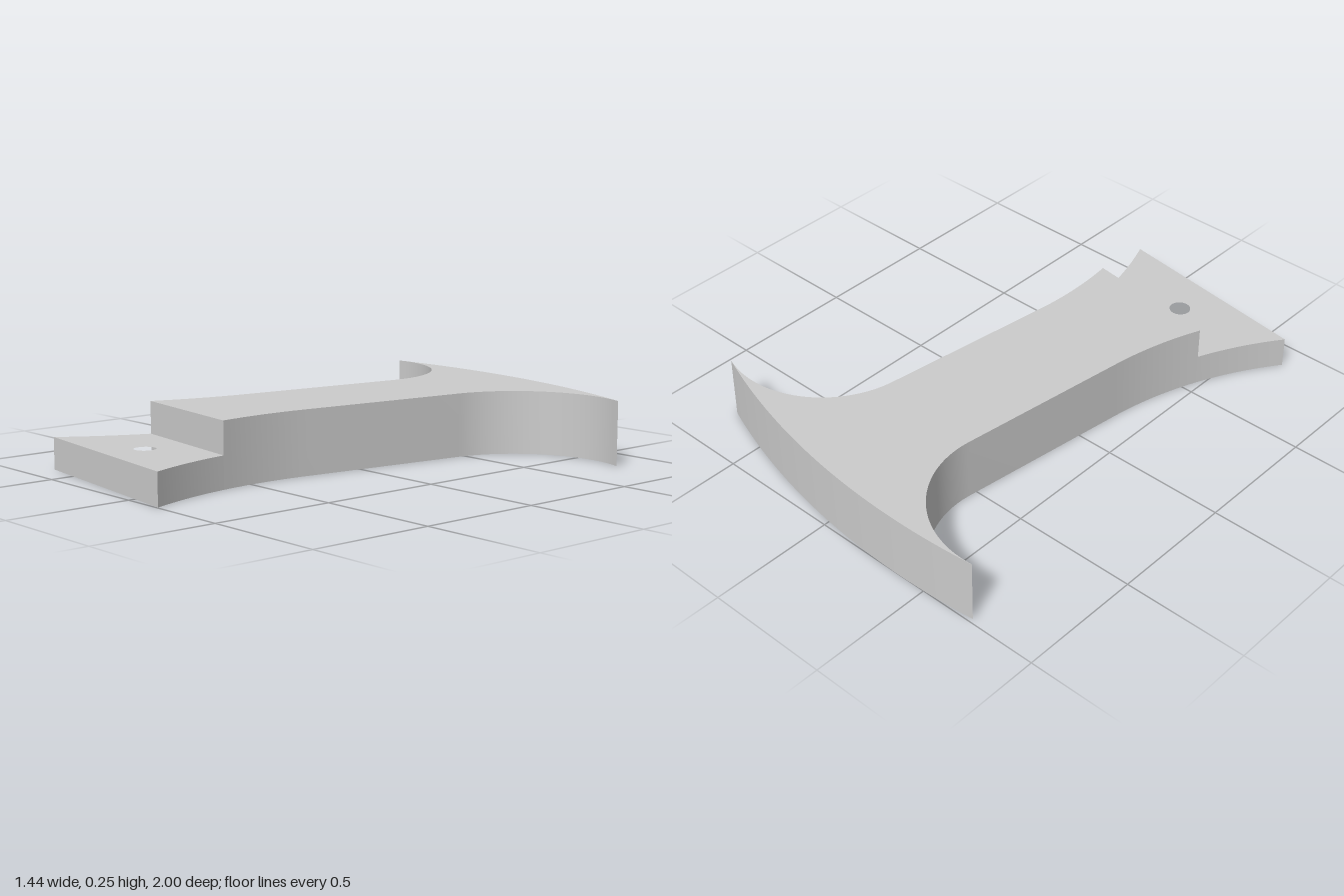
import * as THREE from 'three';
import { toCreasedNormals } from 'three/addons/utils/BufferGeometryUtils.js';

const FULL = 0.255, LOW = 0.127;           // heights of the body and the tongue
const HALF = 0.228;                        // half width of the straight shank
const TIP = { u: 0.725, v: -0.879 };       // tips of the curved head
const STEP = 0.619, END = 0.964;           // where the tongue starts and ends

// Points on a circular arc, angles in radians
function arc(cu, cv, r, a0, a1, n) {
  return Array.from({ length: n + 1 }, (_, i) => {
    const a = a0 + (a1 - a0) * i / n;
    return [cu + r * Math.cos(a), cv + r * Math.sin(a)];
  });
}

// Half width of the flared end at distance v along the axis
const FLARE_R = 1.506, FLARE_V = 0.23;
const flare = v => HALF + FLARE_R - Math.sqrt(FLARE_R ** 2 - (v - FLARE_V) ** 2);
function flareEdge(v0, v1, n) {
  return Array.from({ length: n + 1 }, (_, i) => {
    const v = v0 + (v1 - v0) * i / n;
    return [flare(v), v];
  });
}

const mirrored = pts => pts.map(([u, v]) => [-u, v]).reverse();
const toShape = pts => new THREE.Shape(pts.map(([u, v]) => new THREE.Vector2(u, -v)));

// Extrude a plan outline upward from the ground, smooth along its curves
function slab(name, shape, height) {
  const geo = new THREE.ExtrudeGeometry(shape, { depth: height, bevelEnabled: false, curveSegments: 32 });
  geo.rotateX(-Math.PI / 2);
  const mesh = new THREE.Mesh(toCreasedNormals(geo, 0.5), new THREE.MeshStandardMaterial({ color: 0xcccccc }));
  mesh.name = name;
  return mesh;
}

export function createModel() {
  const group = new THREE.Group();
  group.name = 'flaredHandle';

  // Body: curved head, round fillets, straight shank and start of the flare
  const r = 0.4, cu = HALF + r, cv = -0.49;
  const tipAngle = Math.atan2(TIP.v - cv, TIP.u - cu);
  const side = [
    ...arc(cu, cv, r, tipAngle, -Math.PI, 36),
    ...flareEdge(FLARE_V, STEP, 12),
  ];
  side[0] = [TIP.u, TIP.v];
  const sag = 0.089, backR = (TIP.u ** 2 + sag ** 2) / (2 * sag);
  const half = Math.asin(TIP.u / backR);
  const back = arc(0, TIP.v - sag + backR, backR, -Math.PI / 2 - half, -Math.PI / 2 + half, 40).slice(1, -1);
  const body = slab('body', toShape([...side, ...mirrored(side), ...back]), FULL);

  // Tongue: lower flared end with a round hole
  const edge = flareEdge(STEP, END, 12);
  const plan = toShape([...edge, ...mirrored(edge)]);
  plan.holes.push(new THREE.Path().absarc(0, -0.792, 0.042, 0, Math.PI * 2, true));
  const tongue = slab('tongue', plan, LOW);

  // The symmetry axis is offset and turned slightly from the z axis
  const tilted = new THREE.Group();
  tilted.name = 'handle';
  for (const part of [body, tongue]) {
    part.position.x = -0.118;
    tilted.add(part);
  }
  tilted.rotation.y = -0.1335;
  group.add(tilted);
  return group;
}
